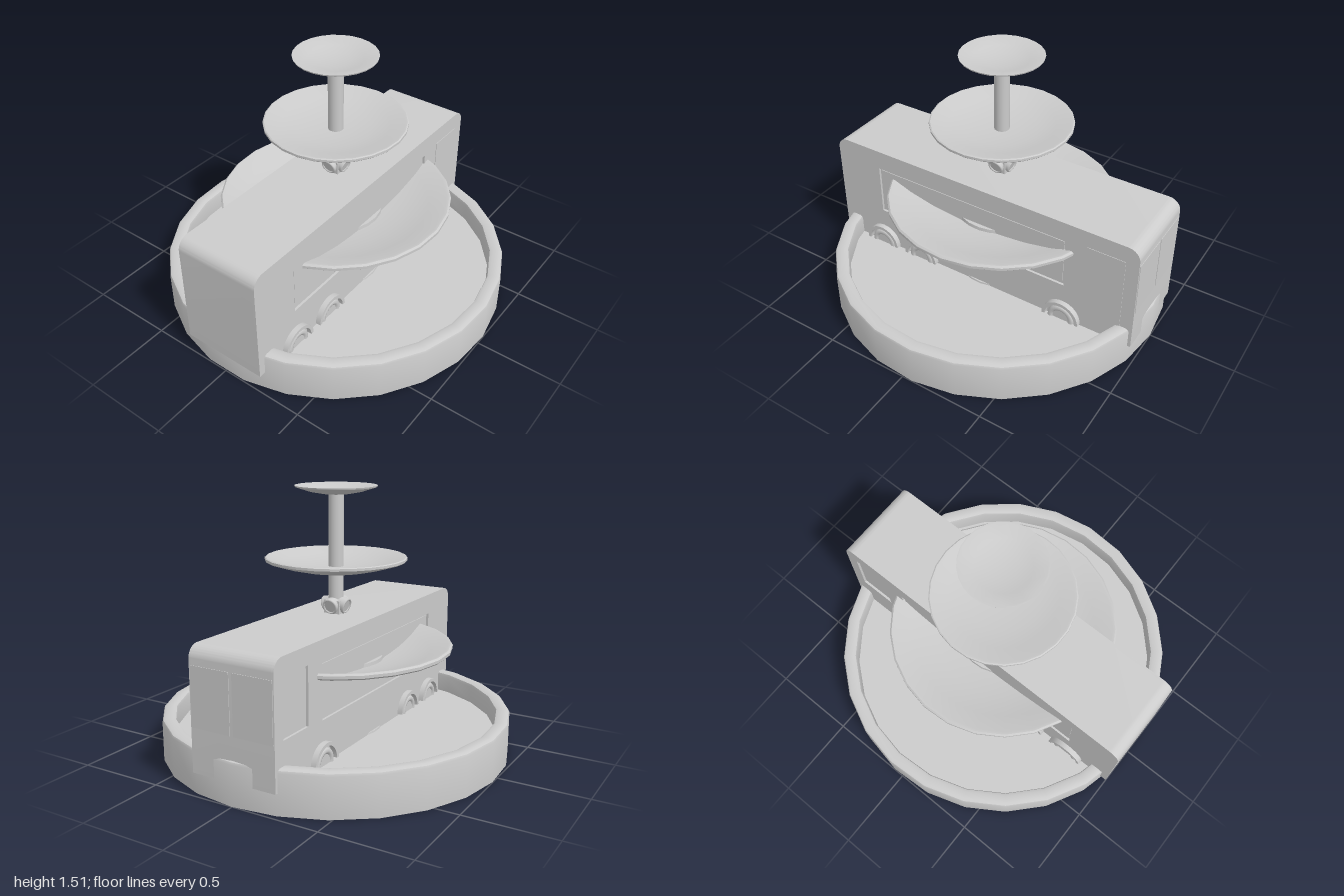
import * as THREE from 'three';
import { toCreasedNormals } from 'three/addons/utils/BufferGeometryUtils.js';

const material = new THREE.MeshStandardMaterial({ color: 0xcccccc });
const SEGMENTS = 25;

function add(parent, name, geometry, x = 0, y = 0, z = 0) {
  const mesh = new THREE.Mesh(geometry, material);
  mesh.name = name;
  mesh.position.set(x, y, z);
  parent.add(mesh);
  return mesh;
}

// Turned part with a corner on +x; profile runs from bottom centre round to top centre
function turned(profile) {
  const points = profile.map(([r, y]) => new THREE.Vector2(r, y));
  const geometry = new THREE.LatheGeometry(points, SEGMENTS);
  geometry.rotateY(Math.PI / 2);
  return toCreasedNormals(geometry, 0.6);
}

// Side outline of the bus, rounded at the two upper corners
function busOutline() {
  const [l, r, b, t, c] = [-1, 0.985, 0.12, 0.79, 0.07];
  const s = new THREE.Shape();
  s.moveTo(l, b);
  s.lineTo(r, b);
  s.lineTo(r, t - c);
  s.absarc(r - c, t - c, c, 0, Math.PI / 2, false);
  s.lineTo(l + c, t);
  s.absarc(l + c, t - c, c, Math.PI / 2, Math.PI, false);
  s.lineTo(l, b);
  return s;
}

function rectHole(x0, x1, y0, y1) {
  const p = new THREE.Path();
  p.moveTo(x0, y0);
  p.lineTo(x0, y1);
  p.lineTo(x1, y1);
  p.lineTo(x1, y0);
  p.closePath();
  return p;
}

function slab(shape, depth) {
  const geometry = new THREE.ExtrudeGeometry(shape, { depth, bevelEnabled: false, curveSegments: 8 });
  return toCreasedNormals(geometry, 0.6);
}

function wheel(name, x, side) {
  const g = new THREE.Group();
  g.name = name;
  // Arch over the wheel
  const arch = new THREE.Shape();
  arch.absarc(0, 0, 0.115, 0, Math.PI, false);
  arch.absarc(0, 0, 0.095, Math.PI, 0, true);
  add(g, 'wheelArch', slab(arch, 0.035));
  add(g, 'tyre', new THREE.TorusGeometry(0.065, 0.02, 8, 24), 0, 0, 0.01);
  const disc = new THREE.CylinderGeometry(0.05, 0.05, 0.03, 20);
  disc.rotateX(Math.PI / 2);
  add(g, 'hubCap', disc, 0, 0, 0.005);
  g.position.set(x, 0.13, side * 0.25);
  if (side < 0) g.rotation.y = Math.PI;
  return g;
}

function createBus() {
  const bus = new THREE.Group();
  bus.name = 'bus';
  const panel = () => rectHole(-0.7, 0.56, 0.36, 0.67);
  add(bus, 'busBody', slab(busOutline(), 0.48), 0, 0, -0.24);

  // Side skins with recessed panel and cab window
  const leftSkin = busOutline();
  leftSkin.holes.push(panel());
  add(bus, 'frontSideSkin', slab(leftSkin, 0.014), 0, 0, 0.24);
  const rightSkin = busOutline();
  rightSkin.holes.push(panel(), rectHole(0.69, 0.91, 0.37, 0.69));
  add(bus, 'backSideSkin', slab(rightSkin, 0.014), 0, 0, -0.254);
  for (const side of [1, -1]) {
    add(bus, 'sidePanel', new THREE.BoxGeometry(1.236, 0.286, 0.01), -0.07, 0.515, side * 0.24);
  }

  // Cab door and split windscreen
  add(bus, 'cabDoor', new THREE.BoxGeometry(0.22, 0.565, 0.01), 0.8, 0.4075, 0.252);
  for (const side of [1, -1]) {
    add(bus, 'windscreenPane', new THREE.BoxGeometry(0.01, 0.325, 0.236), 0.983, 0.5275, side * 0.128);
  }

  for (const side of [1, -1]) {
    for (const x of [-0.7, -0.41, 0.56]) bus.add(wheel('wheel', x, side));
  }
  return bus;
}

export function createModel() {
  const model = new THREE.Group();
  model.name = 'fountainWithBus';

  // Round basin with a raised rim
  add(model, 'basin', turned([
    [0, 0], [1, 0], [1, 0.222], [0.995, 0.234], [0.98, 0.241],
    [0.94, 0.241], [0.925, 0.235], [0.92, 0.22], [0.92, 0.12], [0, 0.12],
  ]));
  add(model, 'pedestal', turned([[0, 0.1], [0.27, 0.1], [0.265, 0.13], [0, 0.13]]));

  model.add(createBus());

  // Three stacked bowls
  add(model, 'lowerBowl', turned([
    [0, 0.475], [0.12, 0.475], [0.27, 0.488], [0.42, 0.52], [0.55, 0.555], [0.655, 0.588],
    [0.665, 0.597], [0.665, 0.613], [0.655, 0.622], [0.64, 0.62],
    [0.54, 0.58], [0.4, 0.545], [0.27, 0.525], [0, 0.52],
  ]));
  add(model, 'lowerBowlCollar', turned([[0, 0.5], [0.275, 0.5], [0.27, 0.545], [0, 0.545]]));
  add(model, 'middleBowl', turned([
    [0, 1.03], [0.15, 1.03], [0.22, 1.042], [0.31, 1.064], [0.395, 1.09],
    [0.4, 1.095], [0.4, 1.108], [0.393, 1.112], [0.38, 1.11],
    [0.3, 1.085], [0.2, 1.066], [0.1, 1.057], [0, 1.055],
  ]));
  add(model, 'topBowl', turned([
    [0, 1.46], [0.08, 1.46], [0.15, 1.473], [0.228, 1.498], [0.231, 1.506],
    [0.222, 1.506], [0.15, 1.485], [0.08, 1.473], [0, 1.47],
  ]));

  // Mast carrying the upper bowls
  add(model, 'mast', new THREE.CylinderGeometry(0.043, 0.043, 0.93, 20), 0, 1.002, 0);

  // Four spouts around the mast foot, mouths tipped slightly downwards
  for (let i = 0; i < 4; i++) {
    const arm = new THREE.Group();
    arm.name = 'spout';
    const pipe = new THREE.CylinderGeometry(0.046, 0.038, 0.07, 16);
    pipe.rotateZ(-Math.PI / 2 - 0.28);
    add(arm, 'spoutPipe', pipe, 0.034, 0.841, 0);
    const lip = new THREE.TorusGeometry(0.04, 0.006, 6, 16);
    lip.rotateY(Math.PI / 2);
    lip.rotateZ(-0.28);
    add(arm, 'spoutLip', lip, 0.068, 0.832, 0);
    arm.rotation.y = (i * Math.PI) / 2;
    model.add(arm);
  }
  add(model, 'mastFoot', new THREE.BoxGeometry(0.1, 0.08, 0.1), 0, 0.825, 0);

  return model;
}
